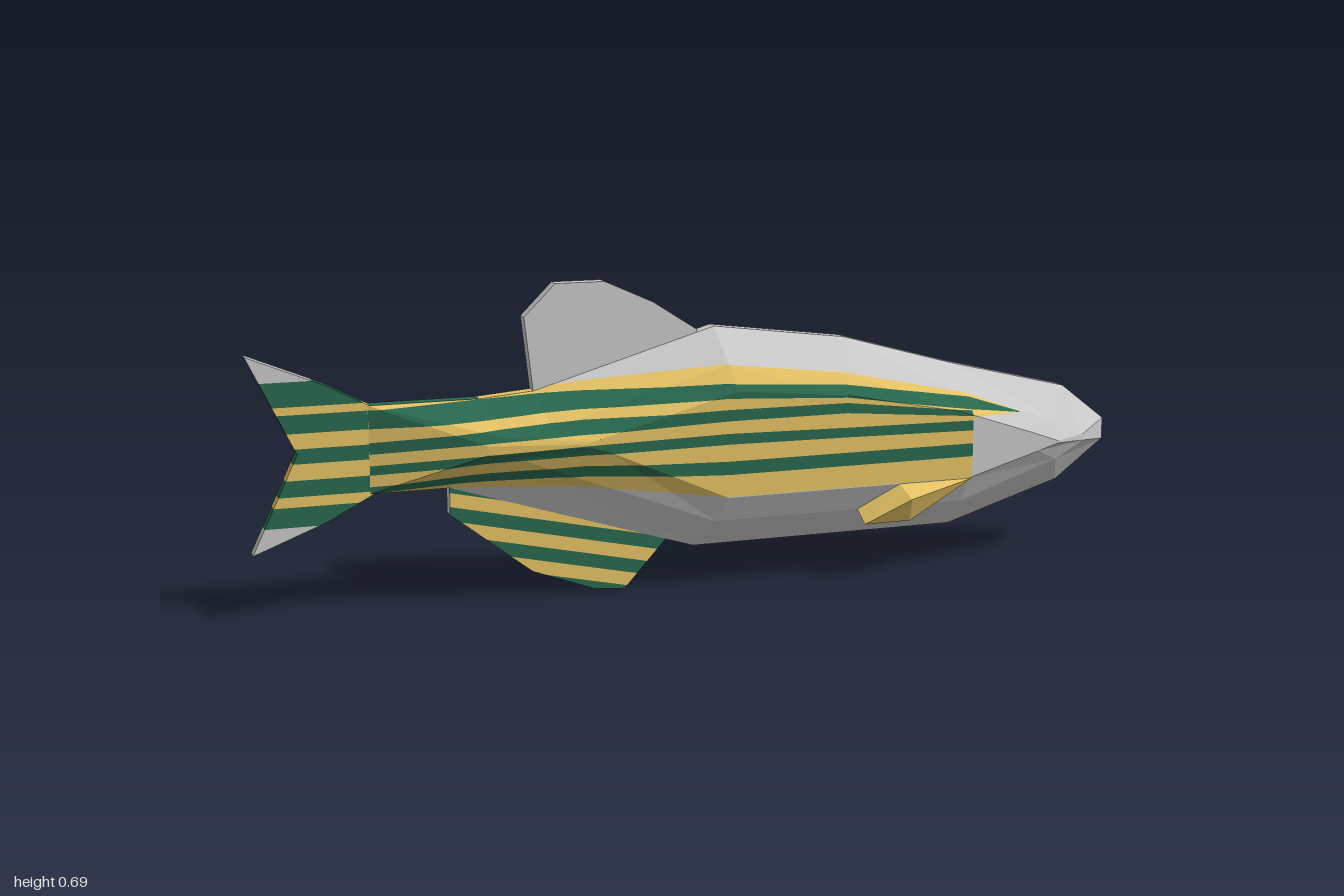
import * as THREE from 'three';
import { ConvexGeometry } from 'three/addons/geometries/ConvexGeometry.js';

const paint = (color) => new THREE.MeshStandardMaterial({ color, flatShading: true });
const grey = new THREE.MeshStandardMaterial({ color: 0xcccccc, flatShading: true });
const gold = paint(0xe8c566), green = paint(0x2a6a4f);

// Body side as three outlines, stepping inwards as they move out from the middle plane
const rings = [
  { z: 0.016, pts: [[-0.75, 0.45], [-0.51, 0.45], [-0.39, 0.46], [0.02, 0.58], [0.33, 0.54], [0.6, 0.465], [0.89, 0.395],
    [1, 0.31], [1, 0.26], [0.88, 0.17], [0.6, 0.085], [-0.03, 0.085], [-0.58, 0.26], [-0.75, 0.26]] },
  { z: 0.085, pts: [[-0.51, 0.36], [-0.47, 0.375], [-0.37, 0.39], [0.03, 0.505], [0.31, 0.468], [0.6, 0.4], [0.83, 0.33],
    [0.91, 0.29], [0.91, 0.275], [0.84, 0.235], [0.6, 0.155], [0, 0.155], [-0.45, 0.33], [-0.51, 0.34]] },
  { z: 0.115, pts: [[-0.3, 0.355], [-0.29, 0.36], [-0.27, 0.365], [0.04, 0.45], [0.3, 0.425], [0.58, 0.37], [0.76, 0.31],
    [0.83, 0.285], [0.83, 0.28], [0.78, 0.265], [0.6, 0.213], [0.02, 0.213], [-0.25, 0.335], [-0.3, 0.35]] },
].map(({ z, pts }) => pts.map(([x, y]) => [x, y, z]));

// Stripe edges, given at these stations along the body
const stations = [-0.75, -0.5, -0.3, 0.02, 0.3, 0.61, 0.74];
const flank = [
  { low: [0.26, 0.26, 0.255, 0.215, 0.215, 0.215], high: [0.45, 0.45, 0.478, 0.505, 0.472, 0.405] },
];
const flankTip = { from: 5, low: [0.355, 0.354], high: [0.405, 0.356] };
const bands = [
  { low: [0.4, 0.41, 0.425, 0.435, 0.42, 0.372, 0.354], high: [0.44, 0.45, 0.46, 0.466, 0.447, 0.398, 0.356] },
  { low: [0.345, 0.365, 0.375, 0.385, 0.385, 0.358], high: [0.37, 0.39, 0.405, 0.41, 0.408, 0.37] },
  { low: [0.3, 0.32, 0.33, 0.333, 0.33, 0.325], high: [0.32, 0.34, 0.352, 0.357, 0.352, 0.348] },
  { low: [0.26, 0.275, 0.28, 0.265, 0.265, 0.265], high: [0.275, 0.295, 0.305, 0.295, 0.295, 0.295] },
];

// Keeps the part of a polygon where a*x + b*y + c >= 0
function clip(poly, [a, b, c]) {
  const out = [];
  poly.forEach((p, i) => {
    const q = poly[(i + 1) % poly.length];
    const dp = a * p[0] + b * p[1] + c, dq = a * q[0] + b * q[1] + c;
    if (dp >= 0) out.push(p);
    if ((dp >= 0) !== (dq >= 0)) out.push(p.map((v, k) => v + (q[k] - v) * dp / (dp - dq)));
  });
  return out;
}

// Mesh from convex polygons
function polyMesh(name, polys, material) {
  const pos = [];
  for (const p of polys) {
    for (let i = 1; i < p.length - 1; i++) pos.push(...p[0], ...p[i], ...p[i + 1]);
  }
  const geo = new THREE.BufferGeometry();
  geo.setAttribute('position', new THREE.Float32BufferAttribute(pos, 3));
  geo.computeVertexNormals();
  const mesh = new THREE.Mesh(geo, material);
  mesh.name = name;
  return mesh;
}

// Polygons plus their mirror images in z
const mirrored = (polys) => [...polys, ...polys.map((p) => p.map(([x, y, z]) => [x, y, -z]).reverse())];

// Triangles of the +z side
function sideFaces() {
  const faces = [];
  for (let r = 0; r < 2; r++) {
    const [a, b] = [rings[r], rings[r + 1]];
    a.forEach((p, i) => {
      const j = (i + 1) % a.length;
      faces.push([p, b[j], a[j]], [p, b[i], b[j]]);
    });
  }
  const cap = rings[2];
  const tris = THREE.ShapeUtils.triangulateShape(cap.map((p) => new THREE.Vector2(p[0], p[1])), []);
  for (const t of tris) {
    const [a, b, c] = t.map((i) => cap[i]);
    const ccw = (b[0] - a[0]) * (c[1] - a[1]) - (b[1] - a[1]) * (c[0] - a[0]) > 0;
    faces.push(ccw ? [a, b, c] : [a, c, b]);
  }
  return faces;
}

// Part of the side lying inside a stripe, lifted slightly off the surface
function stripeFaces(faces, { low, high, from = 0 }, lift) {
  const out = [];
  for (let i = 0; i < low.length - 1; i++) {
    const x0 = stations[from + i], x1 = stations[from + i + 1];
    const sl = (low[i + 1] - low[i]) / (x1 - x0), sh = (high[i + 1] - high[i]) / (x1 - x0);
    const planes = [[1, 0, -x0], [-1, 0, x1], [-sl, 1, sl * x0 - low[i]], [sh, -1, high[i] - sh * x0]];
    for (const f of faces) {
      const p = planes.reduce((poly, plane) => clip(poly, plane), f);
      if (p.length > 2) out.push(p.map(([x, y, z]) => [x, y, z + lift]));
    }
  }
  return out;
}

// Flat fin piece, centred on z = 0
function slab(name, pts, material) {
  const geo = new THREE.ExtrudeGeometry(new THREE.Shape(pts.map((p) => new THREE.Vector2(...p))),
    { depth: 0.032, bevelEnabled: false });
  geo.translate(0, 0, -0.016);
  const mesh = new THREE.Mesh(geo, material);
  mesh.name = name;
  return mesh;
}

// Fin cut into coloured bands; levels are measured on y - slope * x
function stripedFin(name, outlines, slope, cuts, colors, rim) {
  const fin = new THREE.Group();
  fin.name = name;
  for (const outline of outlines) {
    colors.forEach((color, i) => {
      const p = clip(clip(outline, [-slope, 1, -cuts[i]]), [slope, -1, cuts[i + 1]]);
      if (p.length > 2) fin.add(slab(name + 'Band', p, rim ? [color, rim] : color));
    });
  }
  return fin;
}

export function createModel() {
  const model = new THREE.Group();
  model.name = 'fish';

  // Body with the narrow ridge that joins both sides
  const faces = sideFaces();
  const ridge = rings[0].map((p, i) => {
    const q = rings[0][(i + 1) % rings[0].length];
    return [p, q, [q[0], q[1], -q[2]], [p[0], p[1], -p[2]]];
  });
  model.add(polyMesh('body', [...mirrored(faces), ...ridge.slice(2)], grey));
  model.add(polyMesh('backRidgeGreen', [ridge[0]], green), polyMesh('backRidgeGold', [ridge[1]], gold));

  // Flank colouring
  const goldFaces = [...flank, flankTip].flatMap((s) => stripeFaces(faces, s, 0.0012));
  model.add(polyMesh('goldFlank', mirrored(goldFaces), gold));
  const greenFaces = bands.flatMap((s) => stripeFaces(faces, s, 0.0024));
  model.add(polyMesh('greenStripes', mirrored(greenFaces), green));

  // Forked tail, upper and lower lobe
  model.add(stripedFin('tailFin', [
    [[-0.74, 0.355], [-0.74, 0.447], [-0.84, 0.5], [-1, 0.567], [-0.9, 0.355]],
    [[-0.74, 0.355], [-0.9, 0.355], [-1, 0.145], [-0.84, 0.207], [-0.74, 0.26]],
  ], 0, [0, 0.2, 0.243, 0.265, 0.3, 0.335, 0.367, 0.4, 0.44, 0.457, 0.51, 1],
  [grey, green, gold, green, gold, green, gold, green, gold, green, grey]));

  // Fin under the belly
  const belly = [[-0.58, 0.26], [-0.58, 0.2], [-0.4, 0.058], [-0.26, 0.006], [-0.19, 0], [-0.09, 0.11], [-0.09, 0.16], [-0.35, 0.24]];
  const cuts = Array.from({ length: 13 }, (_, i) => -0.065 + i * 0.031);
  model.add(stripedFin('bellyFin', [belly], -0.22, [-1, ...cuts.slice(1, -1), 1],
    cuts.slice(1).map((_, i) => (i % 2 ? gold : green)), grey));

  // Fin on the back
  model.add(slab('backFin', [[-0.39, 0.44], [-0.02, 0.55], [-0.02, 0.575], [-0.12, 0.64], [-0.23, 0.69],
    [-0.34, 0.69], [-0.41, 0.62]], grey));

  // Pair of small side fins
  for (const s of [1, -1]) {
    const pts = [[0.61, 0.213, 0.115], [0.43, 0.213, 0.115], [0.44, 0.187, 0.163], [0.45, 0.13, 0.13],
      [0.34, 0.13, 0.13], [0.34, 0.155, 0.085], [0.45, 0.155, 0.085]];
    const fin = new THREE.Mesh(new ConvexGeometry(pts.map(([x, y, z]) => new THREE.Vector3(x, y, z * s))), gold);
    fin.name = s > 0 ? 'sideFinFront' : 'sideFinBack';
    model.add(fin);
  }
  return model;
}
